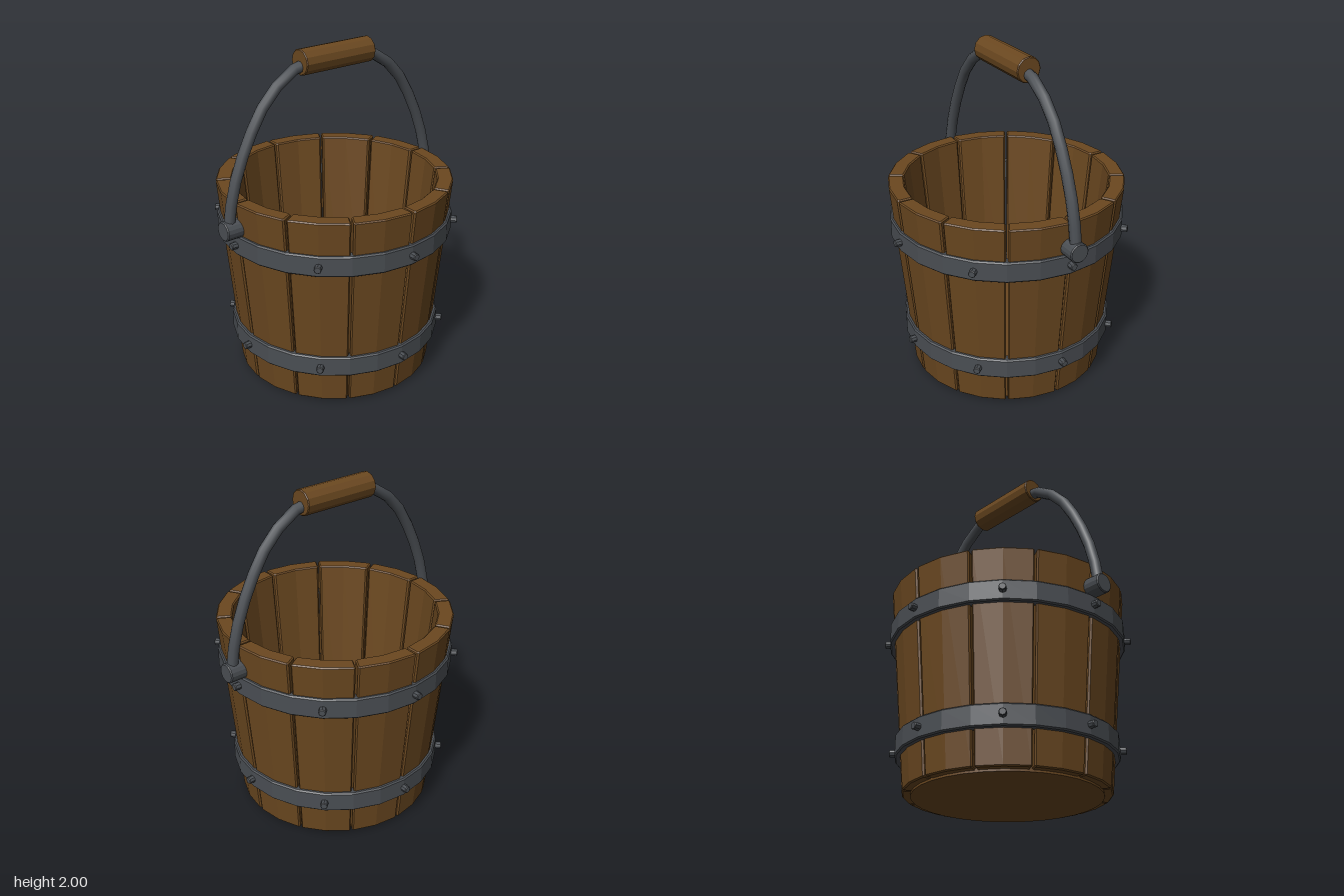
import * as THREE from 'three';

const wood = new THREE.MeshStandardMaterial({ color: 0x6b4820 });
wood.name = 'wood';
const iron = new THREE.MeshStandardMaterial({ color: 0x4a4e53 });
iron.name = 'iron';

const TOP = 1.21, BOTTOM = 0.012, SLOPE = 0.092;
const STEP = Math.PI / 12; // every stave has two facets of this angle

// Faceted normals
function flat(geometry) {
  const g = geometry.index ? geometry.toNonIndexed() : geometry;
  g.computeVertexNormals();
  return g;
}

function part(name, geometry, material, parent) {
  const mesh = new THREE.Mesh(geometry, material);
  mesh.name = name;
  parent.add(mesh);
  return mesh;
}

// Wedge of the ring with chamfered edges, leaning inward towards the bottom
function staveGeometry() {
  const rOut = 0.7, rIn = 0.607, gap = 0.006, c = 0.009, bevel = 0.007;
  const point = (r, side, inset) => {
    const a = side * (STEP - inset / r);
    return new THREE.Vector2(r * Math.sin(a), r * Math.cos(a));
  };
  const shape = new THREE.Shape([
    point(rIn, -1, gap + c), new THREE.Vector2(0, rIn), point(rIn, 1, gap + c),
    point(rIn + c, 1, gap), point(rOut - c, 1, gap),
    point(rOut, 1, gap + c), new THREE.Vector2(0, rOut), point(rOut, -1, gap + c),
    point(rOut - c, -1, gap), point(rIn + c, -1, gap),
  ]);
  const g = new THREE.ExtrudeGeometry(shape, {
    depth: TOP - BOTTOM - 2 * bevel, steps: 1, bevelEnabled: true,
    bevelSegments: 1, bevelSize: bevel, bevelThickness: bevel, bevelOffset: -bevel,
  });
  g.rotateX(-Math.PI / 2);
  g.translate(0, BOTTOM + bevel, 0);
  const p = g.attributes.position;
  for (let i = 0; i < p.count; i++) {
    const x = p.getX(i), y = p.getY(i), z = p.getZ(i);
    const r = Math.hypot(x, z);
    const k = (r - SLOPE * (TOP - y)) / r;
    p.setXYZ(i, x * k, y, z * k);
  }
  return flat(g);
}

// Closed profile with chamfered ends, turned about y
function hoopGeometry(rOut, rIn, y0, y1) {
  const c = 0.008;
  const profile = [
    [rIn, y0], [rOut - c, y0], [rOut, y0 + c], [rOut, y1 - c], [rOut - c, y1], [rIn, y1], [rIn, y0],
  ].map(([x, y]) => new THREE.Vector2(x, y));
  return flat(new THREE.LatheGeometry(profile, 24));
}

// Solid round peg with chamfered ends, centred on y
function pegGeometry(r, length, sides, c) {
  const h = length / 2;
  const profile = [[0, -h], [r - c, -h], [r, c - h], [r, h - c], [r - c, h], [0, h]]
    .map(([x, y]) => new THREE.Vector2(x, y));
  return flat(new THREE.LatheGeometry(profile, sides));
}

export function createModel() {
  const bucket = new THREE.Group();
  bucket.name = 'bucket';

  // Staves
  const stave = staveGeometry();
  for (let i = 0; i < 12; i++) {
    part('stave', stave, wood, bucket).rotation.y = (2 * i + 1) * STEP;
  }

  // Floor, let into the staves
  const floor = new THREE.CylinderGeometry(0.54, 0.54, 0.16, 32);
  part('floor', floor, wood, bucket).position.y = 0.08;

  // Hoops with eight rivets each
  const rivet = pegGeometry(0.022, 0.08, 8, 0.004).rotateX(Math.PI / 2);
  for (const [name, r, y0, y1] of [['upperHoop', 0.7, 0.888, 1.012], ['lowerHoop', 0.64, 0.208, 0.332]]) {
    const hoop = new THREE.Group();
    hoop.name = name;
    bucket.add(hoop);
    part('band', hoopGeometry(r, r - 0.055, y0, y1), iron, hoop);
    for (let i = 0; i < 8; i++) {
      const a = i * Math.PI / 4;
      const m = part('rivet', rivet, iron, hoop);
      m.position.set((r - 0.005) * Math.sin(a), (y0 + y1) / 2, (r - 0.005) * Math.cos(a));
      m.rotation.y = a;
    }
  }

  // Handle: ears, bent rod and wooden grip
  const handle = new THREE.Group();
  handle.name = 'handle';
  bucket.add(handle);
  const ear = pegGeometry(0.058, 0.12, 16, 0.006).rotateZ(Math.PI / 2);
  for (const side of [-1, 1]) {
    part('ear', ear, iron, handle).position.set(side * 0.72, 1.057, 0);
  }
  const half = [[0.74, 1.06], [0.713, 1.23], [0.667, 1.38], [0.597, 1.54], [0.49, 1.72], [0.36, 1.845], [0.24, 1.905]];
  const path = [
    ...half.map(([x, y]) => new THREE.Vector3(-x, y, 0)),
    new THREE.Vector3(0, 1.925, 0),
    ...half.slice().reverse().map(([x, y]) => new THREE.Vector3(x, y, 0)),
  ];
  const rod = new THREE.TubeGeometry(new THREE.CatmullRomCurve3(path), 18, 0.033, 10);
  part('rod', rod, iron, handle);
  const grip = pegGeometry(0.075, 0.484, 12, 0.005).rotateZ(Math.PI / 2);
  part('grip', grip, wood, handle).position.y = 1.925;

  return bucket;
}
